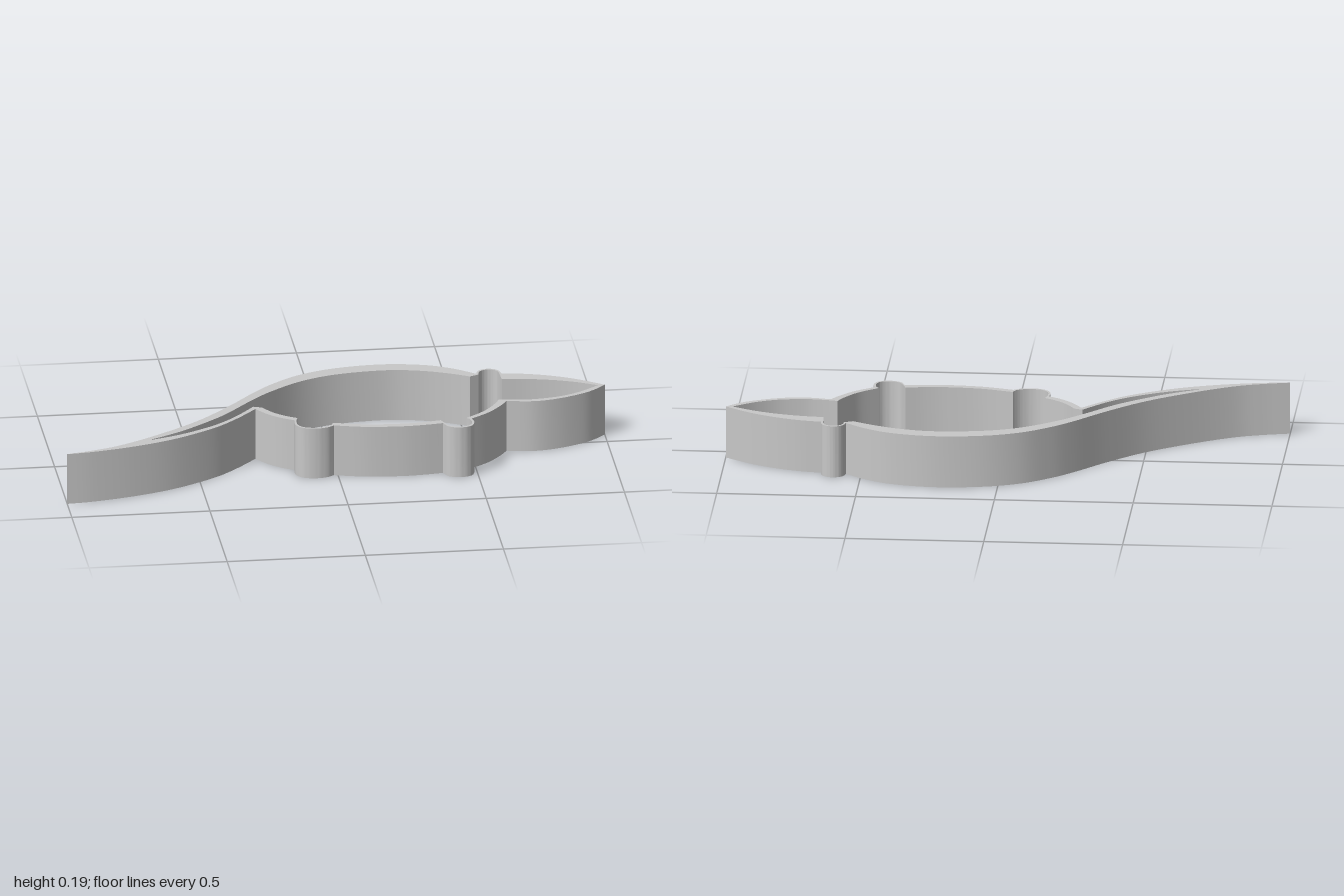
import * as THREE from 'three';
import { toCreasedNormals } from 'three/addons/utils/BufferGeometryUtils.js';

const HEIGHT = 0.192;

// Smooth curve through [x, z] points; shape y is -z.
function arc(points, steps) {
  const curve = new THREE.SplineCurve(points.map(([x, z]) => new THREE.Vector2(x, -z)));
  return curve.getPoints(steps);
}

// Joins smooth runs into one closed outline, keeping corners between runs sharp.
function outline(runs) {
  const out = [];
  for (const run of runs) {
    for (const p of arc(run, run.length === 2 ? 1 : (run.length - 1) * 6)) {
      if (!out.length || out[out.length - 1].distanceTo(p) > 1e-4) out.push(p);
    }
  }
  if (out[0].distanceTo(out[out.length - 1]) < 1e-4) out.pop();
  return out;
}

// Points around a half-round ear, left to right over the top.
function earRun(r) {
  const run = [];
  for (let i = 0; i <= 6; i++) {
    const a = Math.PI * (1 - i / 6);
    run.push([0.6 + r * Math.cos(a), -0.233 - r * Math.sin(a)]);
  }
  return run;
}

export function createModel() {
  const group = new THREE.Group();
  group.name = 'animalCutter';
  const grey = new THREE.MeshStandardMaterial({ color: 0xc8c8c8 });
  grey.name = 'grey plastic';

  const outer = outline([
    // tail top and back
    [[-1, 0.367], [-0.9, 0.342], [-0.8, 0.305], [-0.66, 0.223], [-0.5, 0.106], [-0.37, -0.023], [-0.26, -0.15],
      [-0.18, -0.228], [-0.075, -0.302], [0.06, -0.35], [0.23, -0.367], [0.38, -0.342], [0.48, -0.293], [0.555, -0.233]],
    earRun(0.045),
    // snout top and chin
    [[0.645, -0.226], [0.73, -0.211], [0.82, -0.181], [0.91, -0.135], [1, -0.07]],
    [[1, -0.07], [0.96, -0.03], [0.91, 0.005], [0.82, 0.043], [0.73, 0.059], [0.63, 0.045]],
    // chest
    [[0.63, 0.045], [0.6, 0.092], [0.55, 0.15], [0.485, 0.2]],
    // front foot
    [[0.485, 0.2], [0.49, 0.235], [0.475, 0.27], [0.435, 0.282], [0.395, 0.268], [0.377, 0.232]],
    // belly
    [[0.377, 0.232], [0.3, 0.242], [0.22, 0.245], [0.1, 0.235], [-0.015, 0.206]],
    // hind foot
    [[-0.015, 0.206], [-0.04, 0.222], [-0.08, 0.229], [-0.125, 0.218], [-0.15, 0.185], [-0.15, 0.137]],
    // rump
    [[-0.15, 0.137], [-0.19, 0.112], [-0.235, 0.07], [-0.275, 0.012]],
    // tail underside
    [[-0.275, 0.012], [-0.36, 0.105], [-0.45, 0.182], [-0.6, 0.268], [-0.75, 0.322], [-0.9, 0.356], [-1, 0.367]],
  ]);

  const inner = outline([
    // tail slit and inside of the back
    [[-0.68, 0.26], [-0.61, 0.222], [-0.53, 0.17], [-0.4, 0.062], [-0.29, -0.06], [-0.2, -0.15], [-0.075, -0.24],
      [0.06, -0.29], [0.23, -0.308], [0.35, -0.29], [0.45, -0.253], [0.53, -0.21]],
    [[0.53, -0.21], [0.563, -0.225]],
    earRun(0.037),
    [[0.637, -0.233], [0.64, -0.17]],
    // inside of the head
    [[0.64, -0.17], [0.73, -0.16], [0.82, -0.139], [0.9, -0.109], [0.975, -0.068]],
    [[0.975, -0.068], [0.9, -0.012], [0.82, 0.024], [0.73, 0.039], [0.67, 0.037], [0.605, 0.026]],
    [[0.605, 0.026], [0.58, 0.075], [0.535, 0.135], [0.467, 0.192]],
    // inside of the front foot
    [[0.467, 0.192], [0.478, 0.203]],
    [[0.478, 0.203], [0.482, 0.235], [0.469, 0.263], [0.435, 0.274], [0.4, 0.262], [0.385, 0.235], [0.373, 0.202]],
    // inside of the belly
    [[0.373, 0.202], [0.3, 0.215], [0.22, 0.219], [0.1, 0.21], [-0.015, 0.18]],
    // inside of the hind foot
    [[-0.015, 0.18], [-0.023, 0.2]],
    [[-0.023, 0.2], [-0.045, 0.214], [-0.08, 0.221], [-0.12, 0.211], [-0.142, 0.183], [-0.142, 0.14], [-0.135, 0.118]],
    // inside of the rump
    [[-0.135, 0.118], [-0.175, 0.092], [-0.215, 0.053], [-0.25, 0]],
    [[-0.25, 0], [-0.28, -0.012]],
    // lower wall of the tail slit
    [[-0.28, -0.012], [-0.36, 0.082], [-0.45, 0.158], [-0.57, 0.225], [-0.68, 0.265]],
  ]);

  // one upright wall, open at top and bottom; the hole runs the other way round so its sides face inward
  const shape = new THREE.Shape(outer);
  shape.holes.push(new THREE.Path(inner.reverse()));
  let wall = new THREE.ExtrudeGeometry(shape, { depth: HEIGHT, bevelEnabled: false });
  wall.rotateX(-Math.PI / 2);
  wall = toCreasedNormals(wall, 0.6);
  const mesh = new THREE.Mesh(wall, grey);
  mesh.name = 'cutterWall';
  group.add(mesh);
  return group;
}
